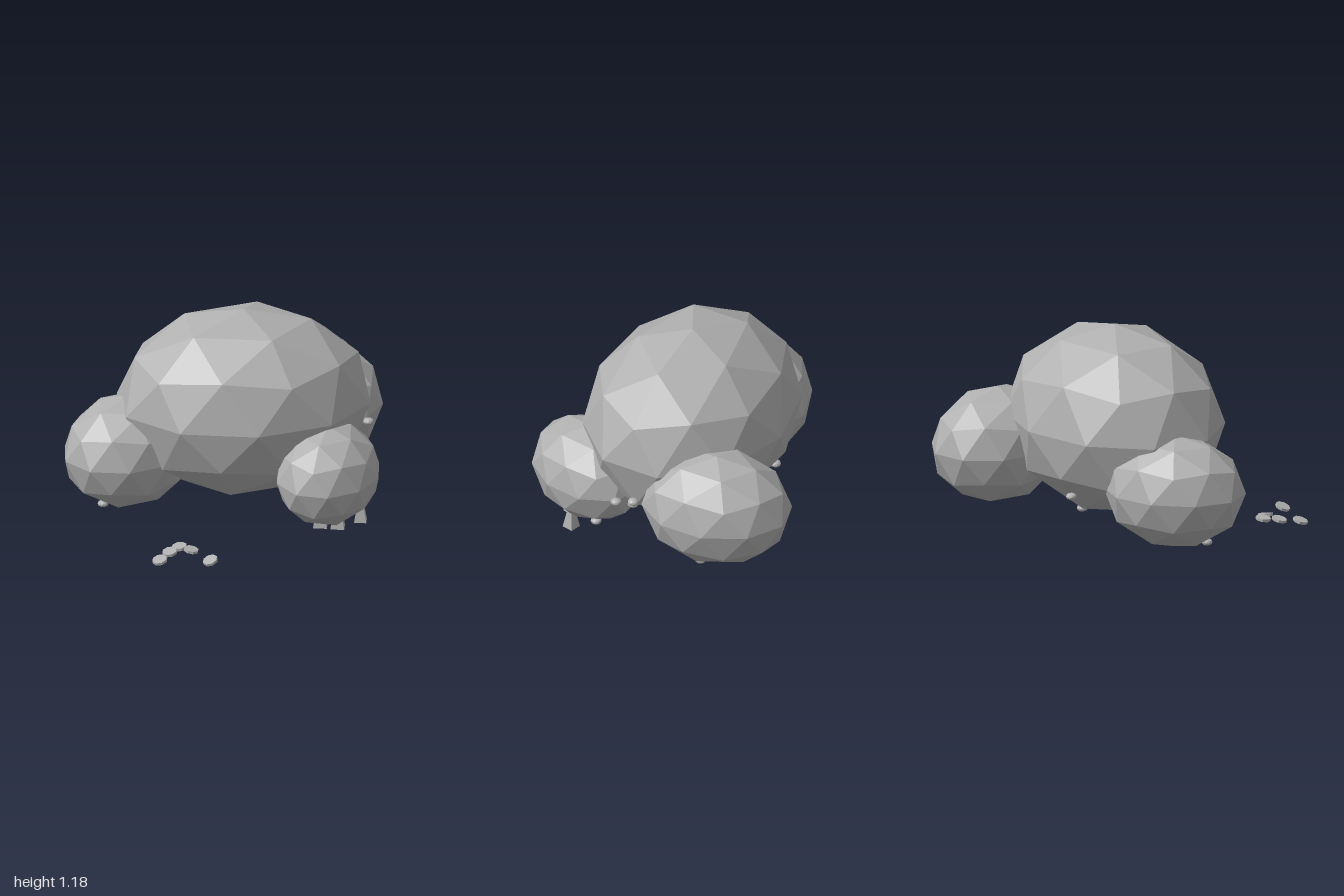
import * as THREE from 'three';

const D = Math.PI / 180;

export function createModel() {
  const model = new THREE.Group();
  const stone = new THREE.MeshStandardMaterial({ color: 0xb0b0b0, flatShading: true });
  stone.name = 'stone grey';

  function add(name, geometry, position, rotation = [0, 0, 0], scale = [1, 1, 1]) {
    const mesh = new THREE.Mesh(geometry, stone);
    mesh.name = name;
    mesh.position.set(...position);
    mesh.rotation.set(...rotation.map((a) => a * D));
    mesh.scale.set(...scale);
    model.add(mesh);
    return mesh;
  }

  // faceted ball with a vertex at each pole
  const ball = new THREE.IcosahedronGeometry(1, 1);
  ball.rotateZ(Math.atan2(2, 1 + Math.sqrt(5)));
  ball.rotateY(Math.PI);

  // boulders: name, centre, turn about y, radii
  const boulders = [
    ['mainBoulder', [0.1, 0.628, -0.03], 12, [0.745, 0.555, 0.585]],
    ['rightBoulder', [-0.55, 0.35, 0.095], 226, [0.42, 0.332, 0.34]],
    ['leftBoulder', [0.605, 0.32, 0.31], 259, [0.385, 0.292, 0.3]],
    ['backBoulder', [0.505, 0.422, -0.59], 117, [0.44, 0.34, 0.345]],
  ];
  for (const [name, centre, turn, radii] of boulders) {
    add(name, ball, centre, [0, turn, 0], radii);
  }

  // small pebbles stuck on the boulders
  const pebbles = [
    [0.77, 0.33, -0.05], [0.73, 0.34, -0.145], [0.805, 0.425, -0.215],
    [0.71, 0.07, 0.16], [-0.04, 0.148, -0.28], [-0.195, 0.27, -0.405],
    [0.61, 0.085, -0.56], [-0.69, 0.067, 0.24],
  ];
  pebbles.forEach((p, i) => add('pebble', ball, p, [0, i * 50, 0], [0.032, 0.021, 0.032]));

  // flat eight-sided chips lying in front
  const chip = new THREE.CylinderGeometry(0.044, 0.044, 0.016, 8);
  const chips = [
    [-0.22, 0.03, 0.76, 3, 8], [-0.15, 0.03, 0.8, 5, -12], [-0.27, 0.03, 0.84, 8, 10],
    [-0.32, 0.025, 0.95, 10, 12], [-0.03, 0.03, 0.95, 10, 18],
  ];
  for (const [x, y, z, tiltX, tiltZ] of chips) add('chip', chip, [x, y, z], [tiltX, 20, tiltZ]);

  // tapered shards below the left boulder: x, z, height, base width, top width
  const shards = [
    [0.565, 0.37, 0.045, 0.08, 0.065],
    [0.665, 0.38, 0.045, 0.08, 0.065],
    [0.79, 0.28, 0.105, 0.07, 0.035],
  ];
  for (const [x, z, h, base, top] of shards) {
    const geo = new THREE.CylinderGeometry(top * Math.SQRT1_2, base * Math.SQRT1_2, h, 4);
    geo.rotateY(Math.PI / 4);
    add('shard', geo, [x, 0.015 + h / 2, z]);
  }

  return model;
}
